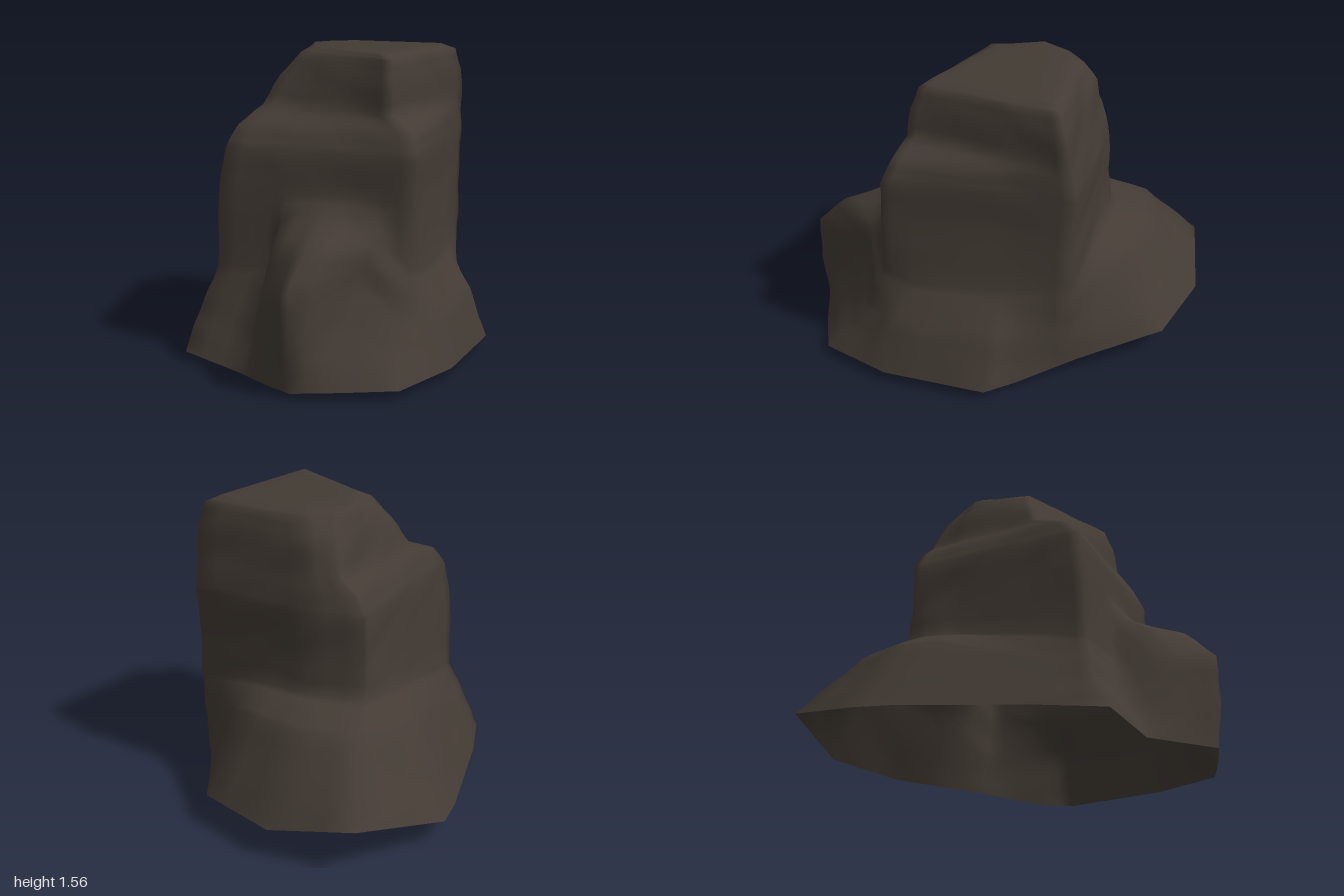
import * as THREE from 'three';

// Skirt rings as [x, y, z], running front-left -> front -> +x side -> back -> -x side.
const base = [
  [-.44, .05, .74], [-.11, 0, .77], [.12, .015, .9], [.28, .03, .98],
  [.5, .04, .89], [.75, .05, .77], [.87, .06, .4], [.86, .06, -.14],
  [.72, .05, -.27], [.5, .1, -.53], [.21, .16, -.91], [-.24, .16, -1],
  [-.69, .25, -.9], [-.88, .12, -.39], [-.83, .11, -.2], [-.59, .07, .43],
];
const skirt = [
  [-.41, .25, .65], [-.08, .24, .67], [.07, .45, .84], [.28, .52, 1],
  [.48, .5, .63], [.68, .29, .57], [.79, .3, .38], [.77, .32, -.12],
  [.67, .3, -.27], [.54, .35, -.5], [.14, .56, -.68], [-.22, .57, -.74],
  [-.5, .57, -.64], [-.6, .54, -.36], [-.58, .53, -.15], [-.45, .32, .45],
];
const foot = [
  [-.33, .48, .58], [-.06, .5, .57], [.04, .75, .58], [.27, .79, .59],
  [.53, .74, .52], [.66, .55, .46], [.68, .52, .3], [.64, .53, -.1],
  [.6, .55, -.27], [.56, .62, -.5], [.15, .66, -.52], [-.15, .67, -.52],
  [-.41, .66, -.42], [-.43, .65, -.3], [-.41, .62, -.1], [-.37, .52, .42],
];

const mix = (a, b, t) => a.map((v, k) => v + (b[k] - v) * t);

// Ring halfway between two others, with some points placed by hand
const between = (a, b, placed) => a.map((p, i) => placed[i] ?? mix(p, b[i], .5));

// Pillar ring from corners: front left, front right, back right, back middle, back left, left middle
const steps = [[0, .27, .36, .56, .78], [0, .15, .58, .76], [0, .55], [0], [0, .35], [0, .7]];
function pillarRing(y, ...corners) {
  return steps.flatMap((ts, e) => ts.map((t) => {
    const [x, z] = mix(corners[e], corners[(e + 1) % 6], t);
    return [x, y, z];
  }));
}

const rings = [
  base,
  // steep sides of the front boulder
  between(base, skirt, { 3: [.29, .28, 1], 4: [.43, .27, .78], 5: [.71, .17, .66] }),
  skirt,
  // flat top of the front boulder and the rear shelf
  between(skirt, foot, { 2: [.05, .65, .71], 3: [.29, .69, .83], 4: [.51, .64, .6], 11: [-.2, .63, -.63] }),
  foot,
  pillarRing(.87, [-.33, .57], [.67, .45], [.56, -.5], [-.14, -.5], [-.4, -.4], [-.38, -.11]),
  pillarRing(1.08, [-.31, .54], [.68, .44], [.56, -.52], [-.14, -.5], [-.4, -.4], [-.37, -.11]),
  pillarRing(1.19, [-.28, .46], [.64, .4], [.56, -.5], [-.13, -.48], [-.34, -.39], [-.32, -.13]),
  pillarRing(1.27, [-.24, .26], [.51, .36], [.57, -.48], [-.1, -.46], [-.25, -.4], [-.25, -.2]),
  // cap, with its left corners worn away
  pillarRing(1.42, [-.18, .18], [.5, .34], [.57, -.46], [-.08, -.43], [-.19, -.35], [-.22, -.19]),
  pillarRing(1.53, [-.09, .13], [.48, .3], [.55, -.43], [-.03, -.38], [-.13, -.27], [-.19, -.16]),
  pillarRing(1.56, [-.03, .08], [.42, .25], [.49, -.37], [.01, -.31], [-.09, -.22], [-.14, -.14]),
  Array.from({ length: 16 }, () => [.2, 1.563, -.06]),
];

// Lofts the rings, subdividing each panel and adding a slight weathered unevenness
function loftRock(sub) {
  const n = 16 * sub, rows = (rings.length - 1) * sub;
  const pos = [], index = [];
  for (let r = 0; r <= rows; r++) {
    const k = Math.min(Math.floor(r / sub), rings.length - 2);
    const t = r / sub - k;
    const rough = r === 0 || r >= rows - sub ? 0 : .006;
    for (let i = 0; i < n; i++) {
      const j = Math.floor(i / sub), s = (i % sub) / sub, j2 = (j + 1) % 16;
      const p = mix(mix(rings[k][j], rings[k][j2], s), mix(rings[k + 1][j], rings[k + 1][j2], s), t);
      const w = rough * Math.sin(p[0] * 13 + p[1] * 17) * Math.cos(p[2] * 15 - p[1] * 11);
      const len = Math.hypot(p[0] - .13, p[2]) || 1;
      pos.push(p[0] + (p[0] - .13) / len * w, p[1], p[2] + p[2] / len * w);
    }
  }
  for (let r = 0; r < rows; r++) {
    for (let i = 0; i < n; i++) {
      const a = r * n + i, b = r * n + (i + 1) % n;
      index.push(a, b, b + n);
      if (r < rows - 1) index.push(a, b + n, a + n);
    }
  }
  const geo = new THREE.BufferGeometry();
  geo.setAttribute('position', new THREE.Float32BufferAttribute(pos, 3));
  geo.setIndex(index);
  geo.computeVertexNormals();
  return geo;
}

export function createModel() {
  const stone = new THREE.MeshStandardMaterial({ color: 0x433b34, side: THREE.DoubleSide });
  stone.name = 'dark brown stone';
  const group = new THREE.Group();
  group.name = 'rockFormation';
  // Open-bottomed shell: spreading skirt, front boulder, pillar and stepped cap
  const rock = new THREE.Mesh(loftRock(3), stone);
  rock.name = 'rock';
  group.add(rock);
  return group;
}
